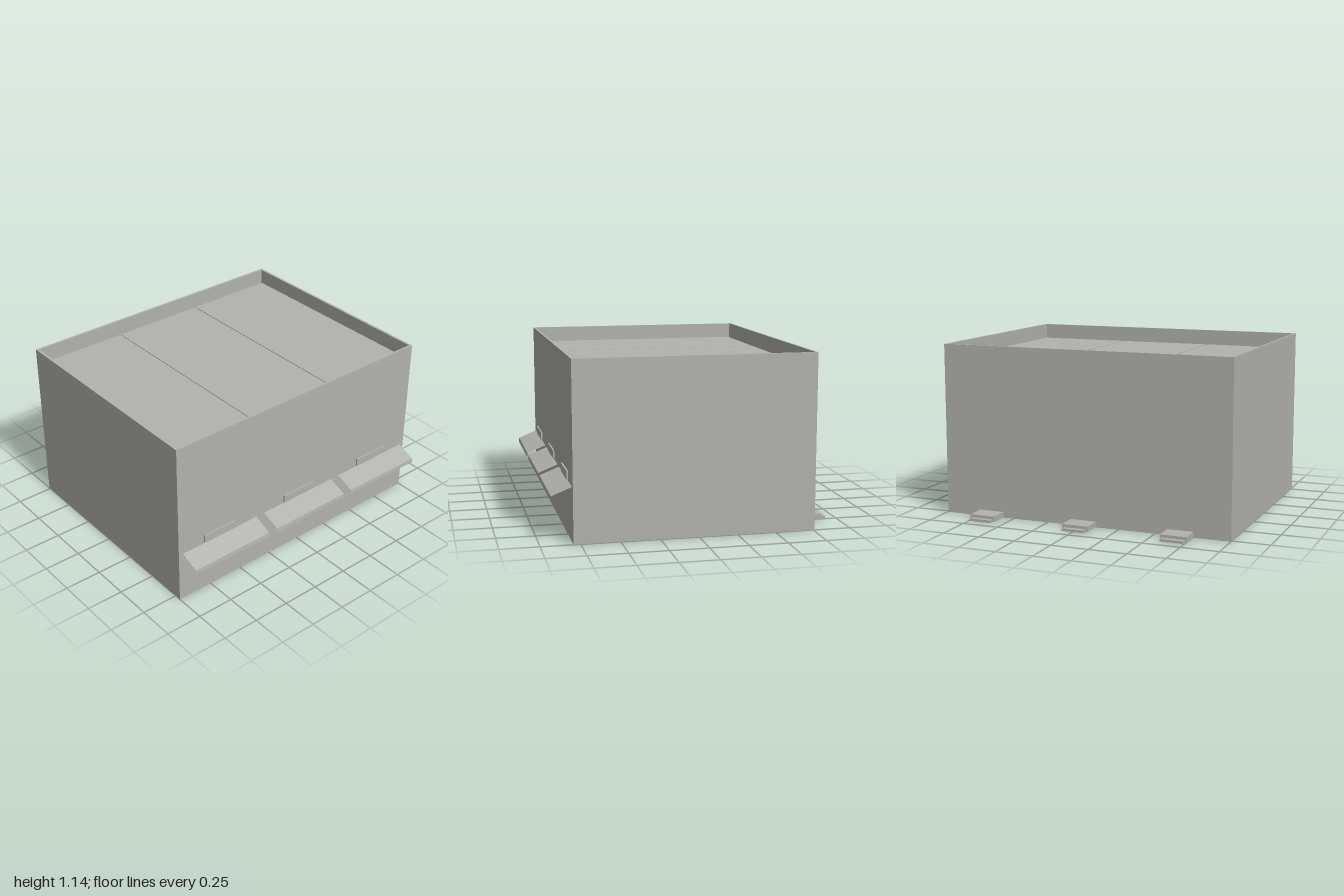
import * as THREE from 'three';

const concrete = new THREE.MeshStandardMaterial({ color: 0xb2b2b0, side: THREE.DoubleSide });
concrete.name = 'concrete grey';

// Box given by its limits, leaving out some sides (0 +x, 1 -x, 2 top, 3 bottom, 4 front, 5 back)
function shell(x0, x1, y0, y1, z0, z1, omit = []) {
  const geo = new THREE.BoxGeometry(x1 - x0, y1 - y0, z1 - z0);
  const index = Array.from(geo.index.array).filter((_, i) => !omit.includes(Math.floor(i / 6)));
  geo.setIndex(index);
  geo.clearGroups();
  geo.translate((x0 + x1) / 2, (y0 + y1) / 2, (z0 + z1) / 2);
  return geo;
}

// Thin sheet following a z,y profile, with flat facets
function sheet(width, profile) {
  const pos = [];
  const h = width / 2;
  for (let i = 0; i < profile.length - 1; i++) {
    const [z0, y0] = profile[i], [z1, y1] = profile[i + 1];
    pos.push(-h, y0, z0, -h, y1, z1, h, y1, z1, -h, y0, z0, h, y1, z1, h, y0, z0);
  }
  const geo = new THREE.BufferGeometry();
  geo.setAttribute('position', new THREE.Float32BufferAttribute(pos, 3));
  geo.computeVertexNormals();
  return geo;
}

export function createModel() {
  const model = new THREE.Group();
  model.name = 'warehouse';
  const add = (name, geo, x = 0) => {
    const mesh = new THREE.Mesh(geo, concrete);
    mesh.name = name;
    mesh.position.x = x;
    model.add(mesh);
  };

  const top = 1.145, roof = 1.035, front = 0.795, back = -0.76, rim = 0.016;

  // Outer walls, open below
  add('walls', shell(-1, 1, 0, top, back, front, [2, 3]));

  // Parapet: inner faces and flat coping
  add('parapetInside', shell(-1 + rim, 1 - rim, roof, top, back + rim, front - rim, [2, 3]));
  const rectangle = (path, x, z0, z1) =>
    path.moveTo(-x, -z0).lineTo(-x, -z1).lineTo(x, -z1).lineTo(x, -z0).closePath();
  const ring = rectangle(new THREE.Shape(), 1, back, front);
  ring.holes.push(rectangle(new THREE.Path(), 1 - rim, back + rim, front - rim));
  add('parapetCoping', new THREE.ShapeGeometry(ring).rotateX(-Math.PI / 2).translate(0, top, 0));

  // Roof deck
  const deck = new THREE.PlaneGeometry(2, front - back).rotateX(-Math.PI / 2);
  add('roofDeck', deck.translate(0, roof, (front + back) / 2));

  for (const side of [-1, 0, 1]) {
    const x = side * 0.667;

    // Roof panel with narrow joints
    const left = side === -1 ? -1 + rim : x - 0.328;
    const right = side === 1 ? 1 - rim : x + 0.328;
    add('roofPanel', shell(left, right, roof, roof + 0.005, back + 0.025, front - 0.027, [3]));

    // Sloping awning with a turned-down lip
    add('awning', sheet(0.6, [[front, 0.355], [0.925, 0.303], [0.928, 0.275]]), x);

    // Sign board above the awning
    add('signBoard', shell(-0.132, 0.132, 0.363, 0.418, front, front + 0.01, [5]), x);

    // Stepped rear doorstep, open below
    add('doorstep', shell(-0.088, 0.088, 0, 0.036, -0.894, back, [3, 4]), x);
    add('lowerStep', shell(-0.077, 0.077, 0, 0.017, -0.927, -0.894, [3, 4]), x);
  }
  return model;
}
